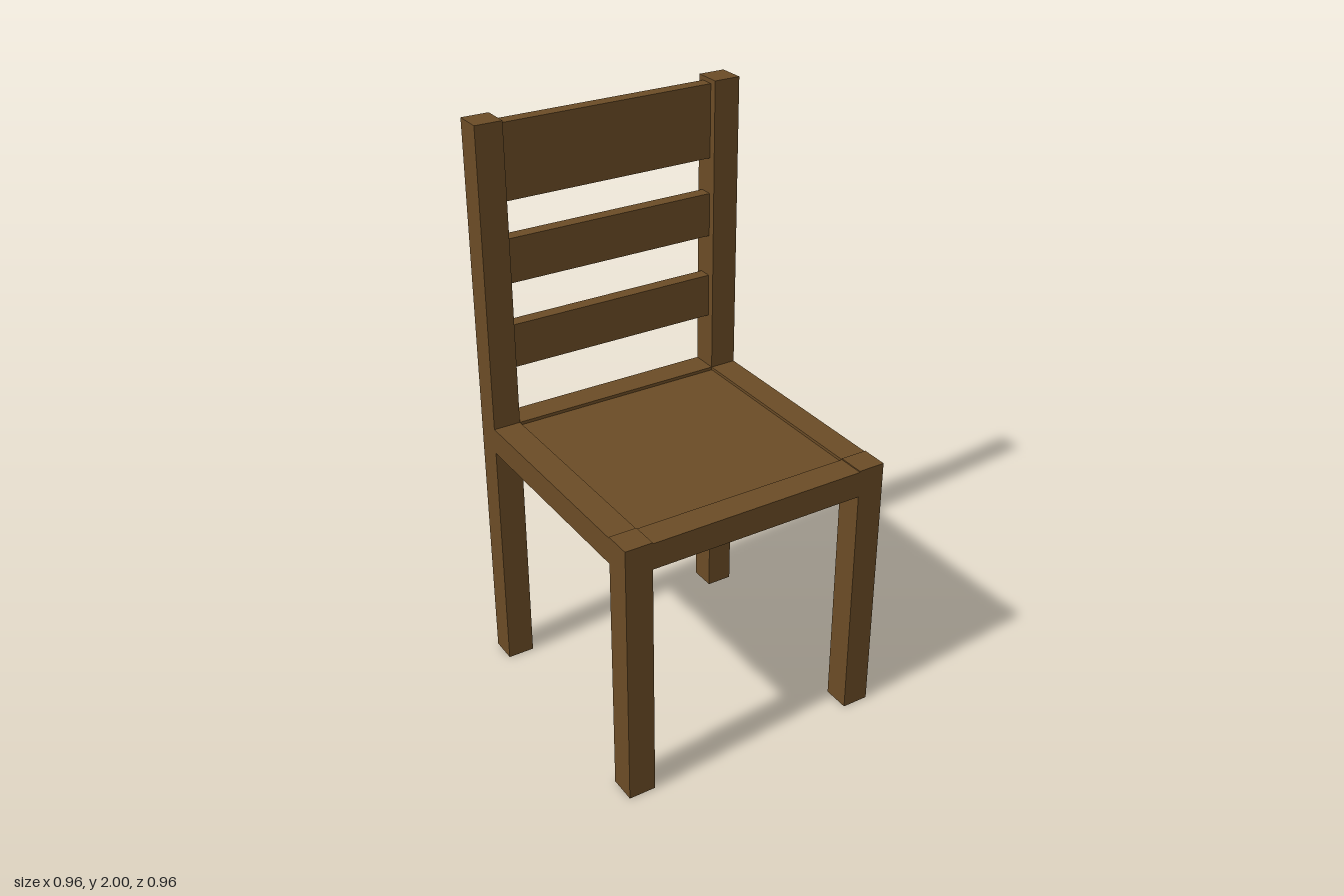
import * as THREE from 'three';

export function createModel() {
  const chair = new THREE.Group();
  chair.name = 'chair';
  const wood = new THREE.MeshStandardMaterial({ color: 0x6b4c26 });

  const T = 0.095;             // post and rail thickness
  const C = 0.48 - T / 2;      // post centre offset
  const SPAN = 2 * (0.48 - T); // clear distance between posts

  // Box spanning y0..y1, centred on x, z
  function board(name, w, d, y0, y1, x, z) {
    const mesh = new THREE.Mesh(new THREE.BoxGeometry(w, y1 - y0, d), wood);
    mesh.position.set(x, (y0 + y1) / 2, z);
    mesh.name = name;
    chair.add(mesh);
  }

  // Legs and side rails, mirrored left and right
  for (const [side, s] of [['left', 1], ['right', -1]]) {
    board(side + 'FrontLeg', T, T, 0, 0.956, s * C, C);
    board(side + 'BackPost', T, T, 0, 2, s * C, -C);
    board(side + 'SeatRail', T, SPAN, 0.86, 0.952, s * C, 0);
  }

  // Front and back seat rails
  board('frontSeatRail', SPAN, T, 0.86, 0.952, 0, C);
  board('backSeatRail', SPAN, T, 0.86, 0.952, 0, -C);

  // Slightly recessed seat panel with a hairline gap at the frame
  board('seatPanel', SPAN - 0.004, SPAN - 0.002, 0.864, 0.942, 0.002, 0.001);

  // Backrest: two narrow slats and a tall top board
  const slats = [['lowerSlat', 1.148, 1.302], ['middleSlat', 1.45, 1.604], ['topSlat', 1.73, 1.985]];
  for (const [name, y0, y1] of slats) board(name, SPAN, 0.047, y0, y1, 0, -0.434);

  return chair;
}
